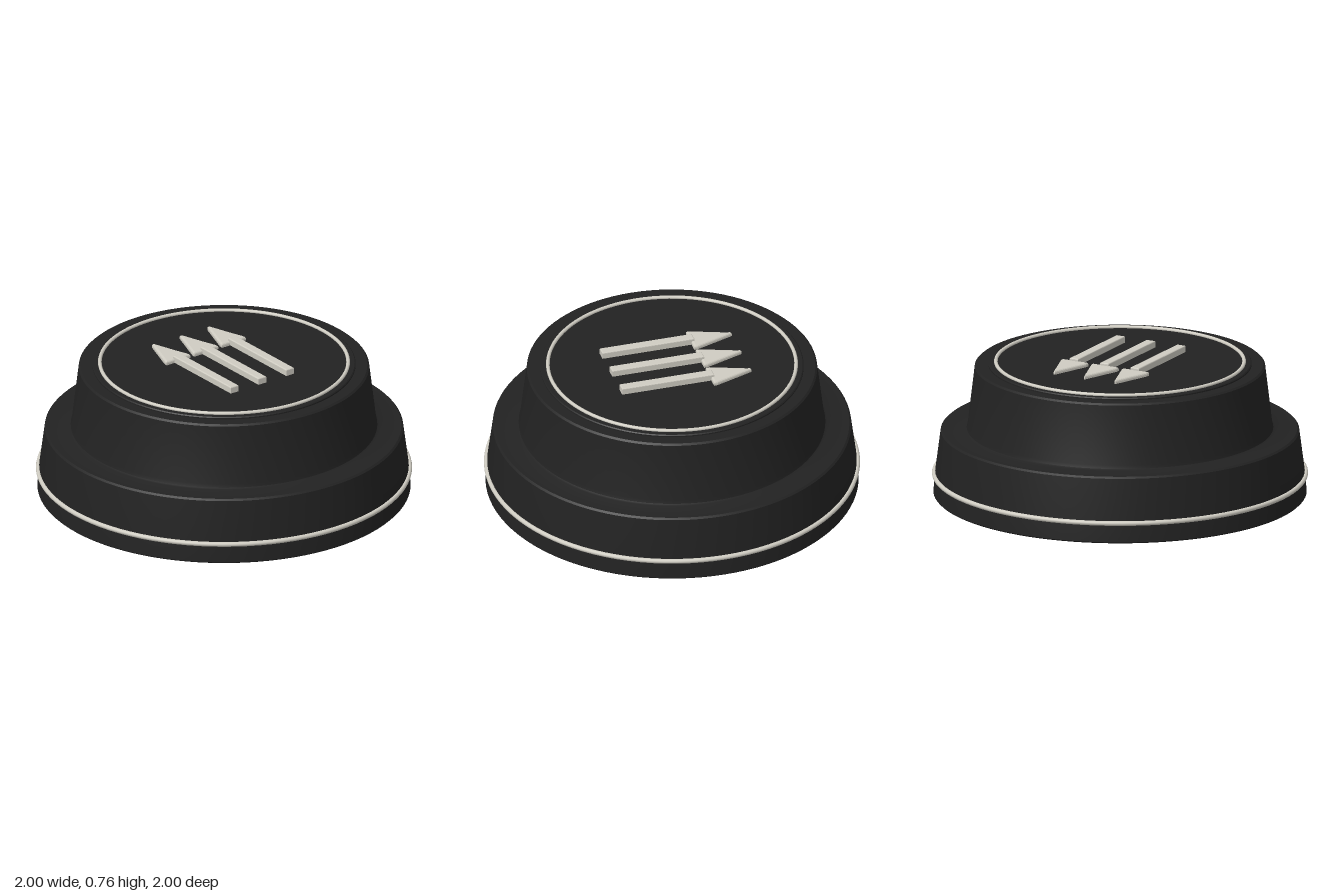
import * as THREE from 'three';
import { toCreasedNormals } from 'three/addons/utils/BufferGeometryUtils.js';

const black = new THREE.MeshStandardMaterial({ color: 0x222222 });
black.name = 'matte black';
const ivory = new THREE.MeshStandardMaterial({ color: 0xcfccc2 });
ivory.name = 'warm ivory';

function add(parent, name, geometry, material, x = 0, y = 0, z = 0) {
  const mesh = new THREE.Mesh(geometry, material);
  mesh.name = name;
  mesh.position.set(x, y, z);
  parent.add(mesh);
  return mesh;
}

function lathe(points) {
  const profile = points.map(([r, y]) => new THREE.Vector2(r, y));
  return toCreasedNormals(new THREE.LatheGeometry(profile, 96), 0.6);
}

// Flat outline in (x, z) raised upwards with a soft bevel
function raisedPlate(outline, height, bevel) {
  const shape = new THREE.Shape(outline.map(([x, z]) => new THREE.Vector2(x, -z)));
  const geometry = new THREE.ExtrudeGeometry(shape, {
    depth: height - bevel, bevelEnabled: true, bevelThickness: bevel,
    bevelSize: bevel, bevelOffset: -bevel, bevelSegments: 3,
  });
  return geometry.rotateX(-Math.PI / 2);
}

export function createModel() {
  const model = new THREE.Group();
  model.name = 'steppedCap';

  // Stepped body with a hollow underside
  add(model, 'body', lathe([
    [0, 0.385], [0.78, 0.385], [0.805, 0],
    [0.985, 0], [0.992, 0.007], [0.985, 0.1], [0.953, 0.347], [0.943, 0.356],
    [0.826, 0.356], [0.815, 0.362], [0.81, 0.38],
    [0.772, 0.7], [0.762, 0.709], [0.7, 0.709], [0, 0.709],
  ]), black);

  // Slightly raised disc on top
  add(model, 'topDisc', lathe([
    [0.7, 0.7], [0.7, 0.716], [0.695, 0.721], [0, 0.721],
  ]), black);

  // Light trim rings
  const topRing = new THREE.TorusGeometry(0.66, 0.01, 10, 96).rotateX(Math.PI / 2);
  add(model, 'topRing', topRing, ivory, 0, 0.725);
  const baseRing = new THREE.TorusGeometry(0.987, 0.013, 12, 96).rotateX(Math.PI / 2);
  add(model, 'baseRing', baseRing, ivory, 0, 0.11);

  // Three raised arrows pointing to the back
  const head = raisedPlate([
    [-0.08, -0.155], [0.08, -0.155], [0.078, -0.177], [0.004, -0.385], [-0.004, -0.385], [-0.078, -0.177],
  ], 0.024, 0.012);
  const shaft = raisedPlate([
    [-0.026, 0.338], [0.026, 0.338], [0.026, -0.172], [-0.026, -0.172],
  ], 0.038, 0.006);
  for (const x of [-0.185, 0, 0.185]) {
    const arrow = new THREE.Group();
    arrow.name = 'arrow';
    arrow.position.set(x, 0.719, 0);
    add(arrow, 'arrowHead', head, ivory);
    add(arrow, 'arrowShaft', shaft, ivory);
    model.add(arrow);
  }

  return model;
}
